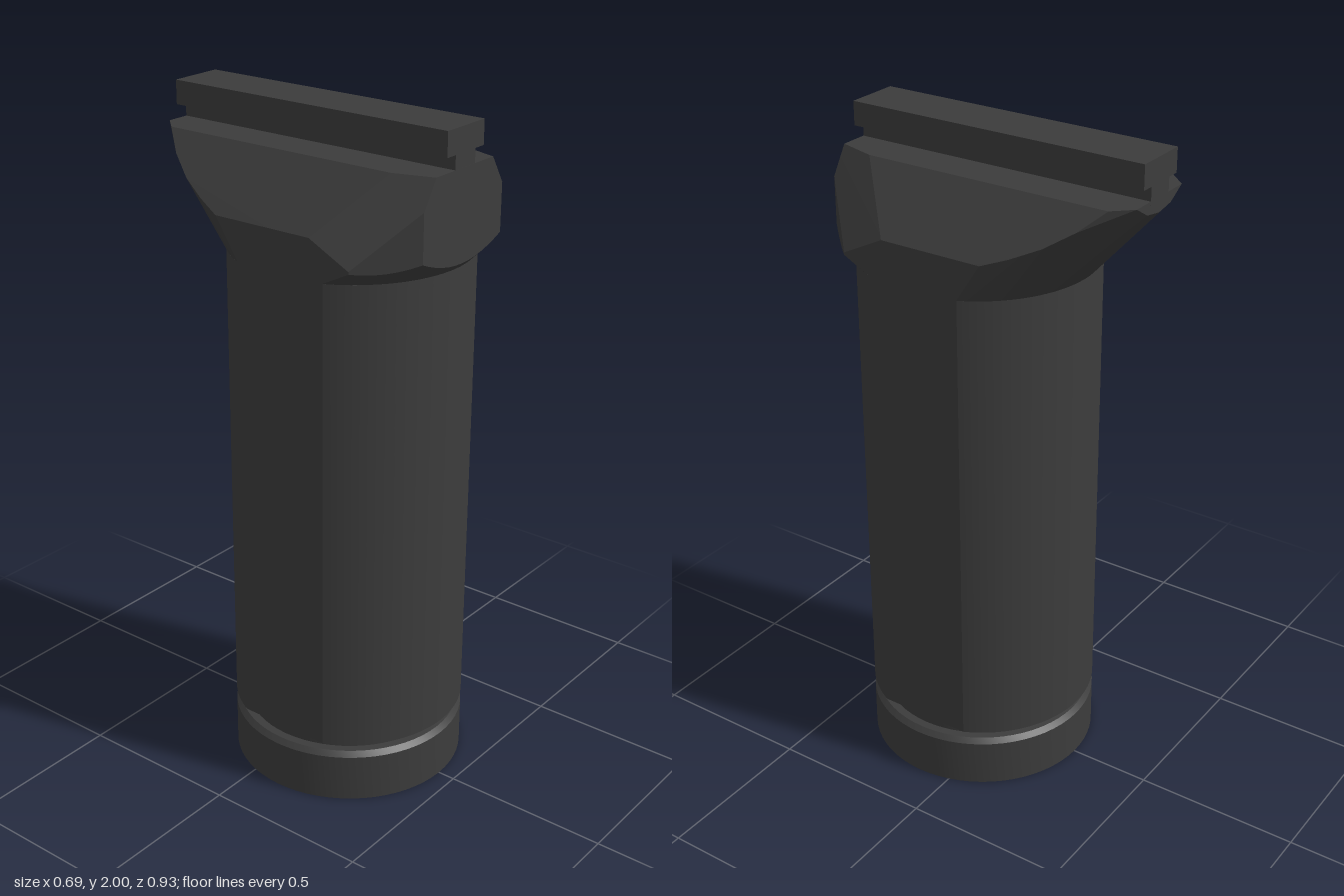
import * as THREE from 'three';
import { ConvexGeometry } from 'three/addons/geometries/ConvexGeometry.js';
import { toCreasedNormals } from 'three/addons/utils/BufferGeometryUtils.js';

const R = 0.347, AXIS_Z = 0.1, HALF_W = 0.315;
const BODY_TOP = 1.61, SHOULDER = 1.725, HEAD_TOP = 1.89;

export function createModel() {
  const model = new THREE.Group();
  const darkGrey = new THREE.MeshStandardMaterial({ color: 0x3c3c3c });
  darkGrey.name = 'dark grey';

  const add = (name, geometry, x = 0, y = 0, z = 0) => {
    const mesh = new THREE.Mesh(geometry, darkGrey);
    mesh.name = name;
    mesh.position.set(x, y, z);
    model.add(mesh);
    return mesh;
  };

  // Round foot with a chamfered rim and a narrow neck above it
  const profile = [[0, 0], [R, 0], [R, 0.145], [0.333, 0.16], [0.308, 0.16], [0.308, 0.2], [0, 0.2]]
    .map(([x, y]) => new THREE.Vector2(x, y));
  const foot = new THREE.LatheGeometry(profile, 64);
  add('foot', toCreasedNormals(foot, 0.5), 0, 0, AXIS_Z);

  // Round post with a flat on each side
  const a = Math.acos(HALF_W / R);
  const section = new THREE.Shape();
  section.absarc(0, 0, R, a, Math.PI - a, false);
  section.absarc(0, 0, R, Math.PI + a, 2 * Math.PI - a, false);
  section.closePath();
  const post = new THREE.ExtrudeGeometry(section, { depth: BODY_TOP - 0.19, bevelEnabled: false, curveSegments: 32 });
  post.rotateX(-Math.PI / 2);
  add('post', toCreasedNormals(post, 0.2), 0, 0.19, AXIS_Z);

  // Head: a faceted convex block flaring out of the post
  const points = [];
  const pair = (x, y, z) => points.push(new THREE.Vector3(x, y, z), new THREE.Vector3(-x, y, z));
  // lower rim follows the post
  for (let i = 0; i <= 16; i++) {
    const t = a + (Math.PI / 2 - a) * i / 16;
    pair(R * Math.cos(t), BODY_TOP, AXIS_Z + R * Math.sin(t));
    pair(R * Math.cos(t), BODY_TOP, AXIS_Z - R * Math.sin(t));
  }
  // a 45 degree cone undercuts the front and its two clipped corners
  const onCone = (x, z) => pair(x, BODY_TOP + Math.hypot(x, z - AXIS_Z) - R, z);
  for (let i = 0; i <= 6; i++) {
    onCone(0.18 * i / 6, 0.466);
    onCone(0.18 + 0.135 * i / 6, 0.466 - 0.136 * i / 6);
  }
  // front corners
  pair(0.13, HEAD_TOP, 0.466);
  pair(0.18, 1.81, 0.466);
  pair(0.165, HEAD_TOP, 0.35);
  pair(HALF_W, SHOULDER, 0.2);
  pair(HALF_W, 1.66, 0.33);
  // rounded rear edge climbing the sloped shoulders
  pair(HALF_W, SHOULDER, -0.12);
  pair(0.29, 1.752, -0.195);
  pair(0.258, 1.788, -0.275);
  pair(0.215, 1.835, -0.35);
  pair(0.165, HEAD_TOP, -0.412);
  // rear end
  pair(0.115, HEAD_TOP, -0.465);
  pair(0.06, 1.857, -0.465);
  pair(0, 1.847, -0.465);
  add('head', toCreasedNormals(new ConvexGeometry(points), 0.2));

  // T-shaped rail along the top
  add('railStem', new THREE.BoxGeometry(0.09, 0.06, 0.931), 0, 1.91, 0);
  add('railTop', new THREE.BoxGeometry(0.166, 0.07, 0.931), 0, 1.965, 0);

  return model;
}
